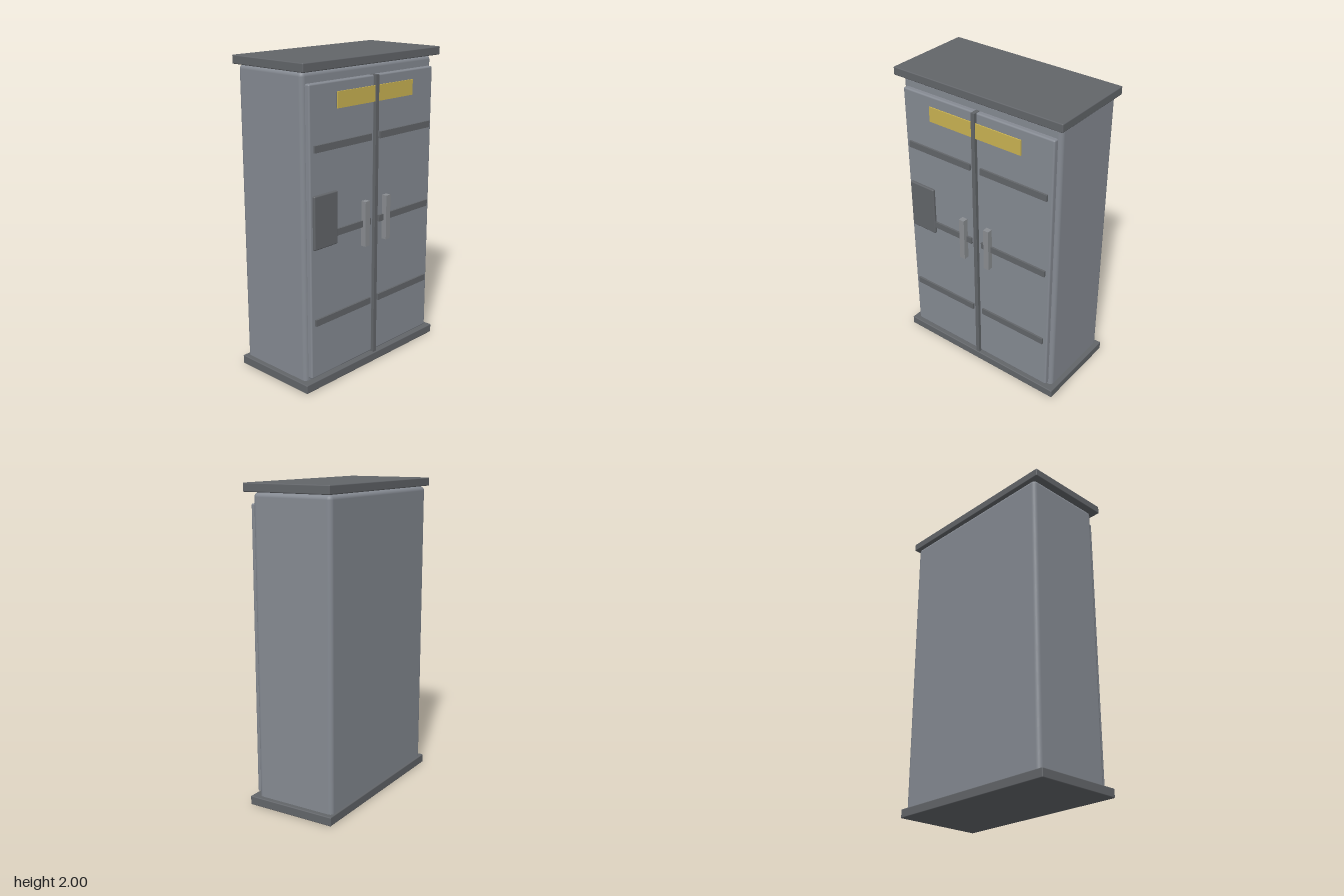
import * as THREE from 'three';
import { RoundedBoxGeometry } from 'three/addons/geometries/RoundedBoxGeometry.js';

const paint = (name, color) => {
  const m = new THREE.MeshStandardMaterial({ color });
  m.name = name;
  return m;
};

export function createModel() {
  const model = new THREE.Group();
  model.name = 'cabinet';
  const steel = paint('steel grey', 0x858a92);
  const dark = paint('dark grey', 0x626569);
  const grip = paint('handle grey', 0x8a8d91);
  const yellow = paint('label yellow', 0xc9b252);

  // Box given by its extents on each axis, with an optional rounded edge
  const box = (name, material, [x0, x1], [y0, y1], [z0, z1], radius = 0) => {
    const size = [x1 - x0, y1 - y0, z1 - z0];
    const geometry = radius
      ? new RoundedBoxGeometry(...size, 3, radius)
      : new THREE.BoxGeometry(...size);
    const mesh = new THREE.Mesh(geometry, material);
    mesh.name = name;
    mesh.position.set((x0 + x1) / 2, (y0 + y1) / 2, (z0 + z1) / 2);
    model.add(mesh);
  };

  // Carcass with overhanging base and top
  box('body', steel, [-0.578, 0.578], [0.003, 1.945], [-0.298, 0.243], 0.028);
  box('base', dark, [-0.61, 0.61], [0, 0.057], [-0.31, 0.288], 0.006);
  box('top', dark, [-0.61, 0.61], [1.947, 2], [-0.31, 0.288], 0.006);

  // Doors, each with three rails and a handle
  for (const side of [-1, 1]) {
    const label = side < 0 ? 'right' : 'left';
    const span = (a, b) => (side < 0 ? [-b, -a] : [a, b]);
    box(label + 'Door', steel, span(0.006, 0.553), [0.073, 1.878], [0.225, 0.274], 0.01);
    [0.44, 0.974, 1.508].forEach((y, i) =>
      box(label + 'Rail' + (i + 1), dark, span(0.038, 0.522), [y - 0.021, y + 0.021], [0.268, 0.287]));
    box(label + 'Handle', grip, span(0.077, 0.116), [0.83, 1.119], [0.27, 0.31]);
  }

  // Centre strip, control panel and label plate
  box('centreStrip', dark, [-0.013, 0.013], [0.07, 1.88], [0.24, 0.295]);
  box('controlPanel', dark, [-0.534, -0.34], [0.905, 1.235], [0.26, 0.291], 0.008);
  box('labelPlate', yellow, [-0.338, 0.338], [1.72, 1.817], [0.281, 0.289]);
  box('labelBacking', dark, [-0.334, 0.334], [1.724, 1.813], [0.27, 0.281]);

  return model;
}
